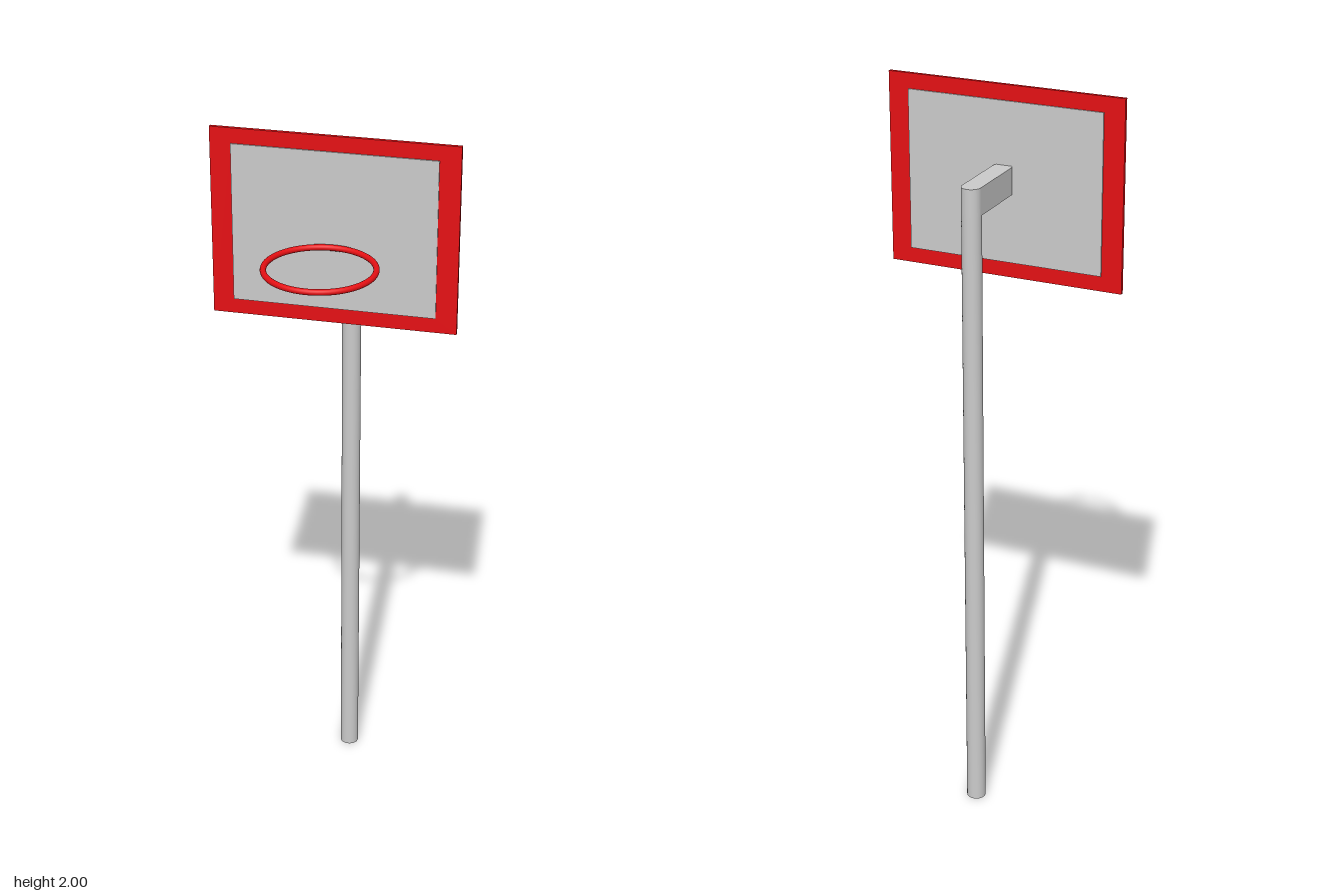
import * as THREE from 'three';

const grey = new THREE.MeshStandardMaterial({ color: 0xcccccc });
const red = new THREE.MeshStandardMaterial({ color: 0xe61014 });

const POLE_R = 0.026, POLE_Z = -0.244, BOARD_Z = -0.0415;
const ARM_TOP = 1.79, ARM_HEIGHT = 0.073, ARM_END = -0.064;

export function createModel() {
  const model = new THREE.Group();
  model.name = 'basketballHoop';

  function add(name, geometry, material, x, y, z) {
    const mesh = new THREE.Mesh(geometry, material);
    mesh.name = name;
    mesh.position.set(x, y, z);
    model.add(mesh);
    return mesh;
  }

  // Upright pole behind the board
  add('pole', new THREE.CylinderGeometry(POLE_R, POLE_R, ARM_TOP, 32), grey, 0, ARM_TOP / 2, POLE_Z);

  // Arm with rounded ends, reaching from the pole into the board
  const slot = new THREE.Shape();
  slot.absarc(0, -POLE_Z, POLE_R, 0, Math.PI, false);
  slot.absarc(0, -ARM_END, POLE_R, Math.PI, Math.PI * 2, false);
  slot.closePath();
  const armGeometry = new THREE.ExtrudeGeometry(slot, { depth: ARM_HEIGHT, bevelEnabled: false, curveSegments: 16 });
  armGeometry.rotateX(-Math.PI / 2);
  add('arm', armGeometry, grey, 0, ARM_TOP - ARM_HEIGHT, 0);

  // Backboard panel, slightly thicker than its frame
  add('backboard', new THREE.BoxGeometry(0.542, 0.43, 0.017), grey, 0, 1.744, BOARD_Z);

  // Red border around the panel
  const border = new THREE.Shape();
  border.moveTo(-0.327, -0.256).lineTo(0.327, -0.256).lineTo(0.327, 0.256).lineTo(-0.327, 0.256).closePath();
  const opening = new THREE.Path();
  opening.moveTo(-0.271, -0.215).lineTo(-0.271, 0.215).lineTo(0.271, 0.215).lineTo(0.271, -0.215).closePath();
  border.holes.push(opening);
  const borderGeometry = new THREE.ExtrudeGeometry(border, { depth: 0.01, bevelEnabled: false });
  borderGeometry.translate(0, 0, -0.005);
  add('boardFrame', borderGeometry, red, 0, 1.744, BOARD_Z);

  // Rim touching the front of the board
  const rim = add('rim', new THREE.TorusGeometry(0.143, 0.008, 16, 64), red, 0, 1.703, 0.116);
  rim.rotation.x = Math.PI / 2;

  return model;
}
